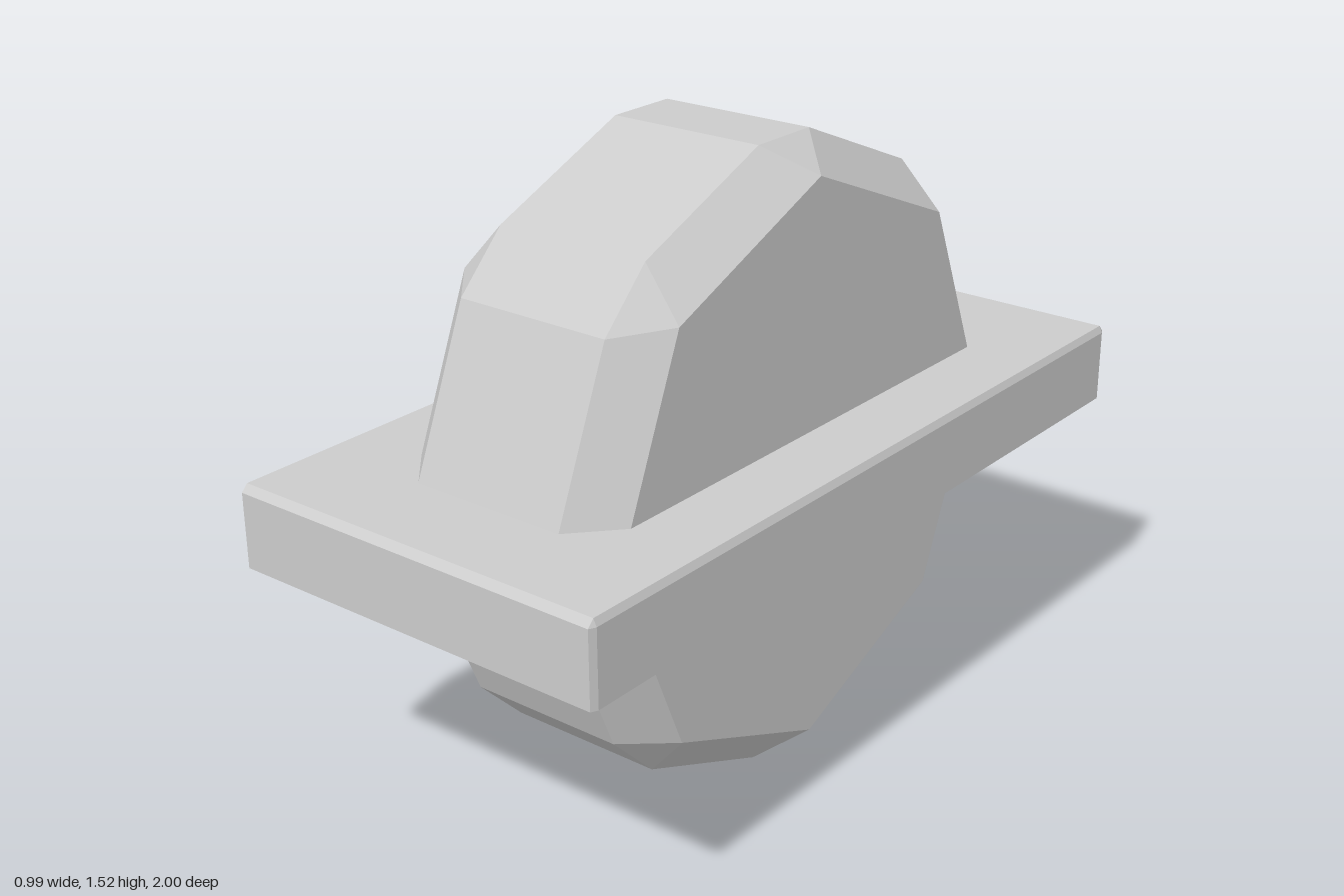
import * as THREE from 'three';
import { ConvexGeometry } from 'three/addons/geometries/ConvexGeometry.js';

const CENTER_Y = 0.763;

// Octagonal wheel: flat sides, chamfered rims and split corners.
function wheelGeometry() {
  const points = [];
  const add = (x, r, a) => points.push(new THREE.Vector3(x, r * Math.cos(a), r * Math.sin(a)));
  const rimRadius = Math.hypot(0.762, 0.092);
  const split = Math.atan2(0.092, 0.762);
  for (let i = 0; i < 8; i++) {
    const a = i * Math.PI / 4;
    for (const s of [-1, 1]) {
      add(s * 0.3, 0.691, a);
      add(s * 0.2, rimRadius, a - split);
      add(s * 0.2, rimRadius, a + split);
    }
  }
  return new ConvexGeometry(points);
}

// Thin tray, open underneath, with small chamfers on its upper and upright edges.
function plateGeometry() {
  const X = 0.496, Z = 1, bx = 0.008, bz = 0.016;
  const bottom = 0.665, shoulder = 0.845, top = 0.862;
  const corners = [[1, 1], [1, -1], [-1, -1], [-1, 1]];
  const outline = [], inner = [];
  corners.forEach(([sx, sz], i) => {
    const pair = [[sx * (X - bx), sz * Z], [sx * X, sz * (Z - bz)]];
    outline.push(...(i % 2 ? pair.reverse() : pair));
    inner.push([sx * (X - bx), sz * (Z - bz)]);
  });
  const pos = [];
  const tri = (...pts) => pts.forEach((p) => pos.push(...p));
  const quad = (a, b, c, d) => { tri(a, b, c); tri(a, c, d); };
  const at = ([x, z], y) => [x, y - CENTER_Y, z];
  for (let i = 0; i < 8; i++) {
    const p = outline[i], q = outline[(i + 1) % 8];
    const ip = inner[i >> 1], iq = inner[((i + 1) % 8) >> 1];
    quad(at(p, bottom), at(q, bottom), at(q, shoulder), at(p, shoulder));
    // Corner pairs meet at one inner point, long edges get a full chamfer.
    if (ip === iq) tri(at(p, shoulder), at(q, shoulder), at(ip, top));
    else quad(at(p, shoulder), at(q, shoulder), at(iq, top), at(ip, top));
  }
  quad(...inner.map((p) => at(p, top)));
  const g = new THREE.BufferGeometry();
  g.setAttribute('position', new THREE.Float32BufferAttribute(pos, 3));
  g.computeVertexNormals();
  return g;
}

export function createModel() {
  const group = new THREE.Group();
  group.name = 'wheelInPlate';
  const addPart = (name, geometry, side) => {
    const material = new THREE.MeshStandardMaterial({ color: 0xcccccc, flatShading: true, side });
    const mesh = new THREE.Mesh(geometry, material);
    mesh.name = name;
    mesh.position.y = CENTER_Y;
    group.add(mesh);
  };
  addPart('wheel', wheelGeometry(), THREE.FrontSide);
  addPart('plate', plateGeometry(), THREE.DoubleSide);
  return group;
}
